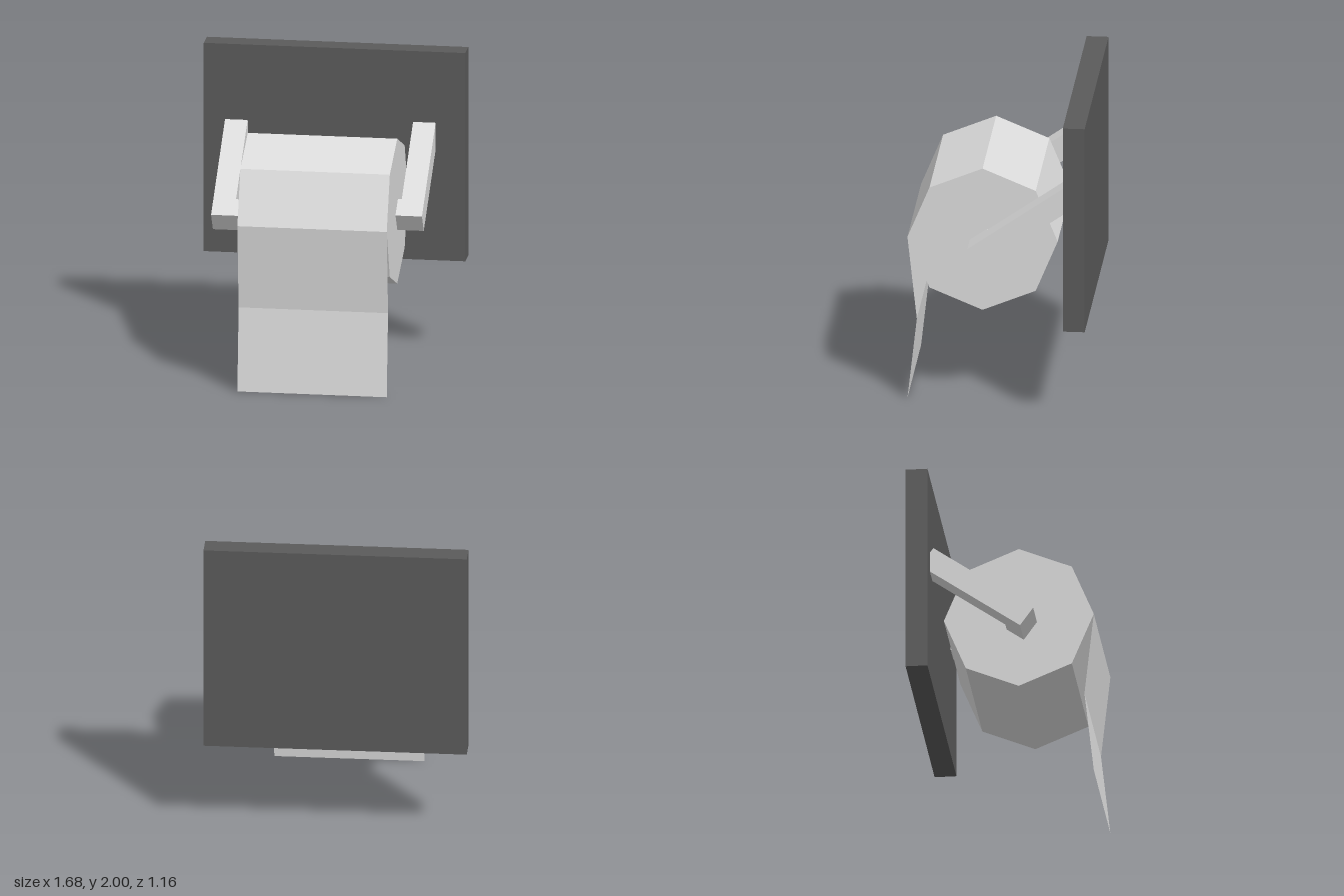
import * as THREE from 'three';

export function createModel() {
  const model = new THREE.Group();
  model.name = 'toiletRollHolder';

  const paper = new THREE.MeshStandardMaterial({ color: 0xdcdcdc });
  paper.name = 'light grey';
  paper.flatShading = true;
  paper.side = THREE.DoubleSide;
  const dark = new THREE.MeshStandardMaterial({ color: 0x5a5a5a });
  dark.name = 'dark grey';

  const add = (name, geometry, material, x, y, z) => {
    const mesh = new THREE.Mesh(geometry, material);
    mesh.name = name;
    mesh.position.set(x, y, z);
    model.add(mesh);
    return mesh;
  };

  // Wall plate
  add('wallPlate', new THREE.BoxGeometry(1.68, 1.38, 0.14), dark, 0, 1.31, -0.515);

  // Eight-sided paper roll lying along x
  const rollWidth = 0.96;
  const roll = new THREE.CylinderGeometry(0.48, 0.48, rollWidth, 8).rotateZ(Math.PI / 2);
  add('paperRoll', roll, paper, 0, 1.095, 0.1);

  // Hanging sheet with one crease, pulled back at the middle
  const sheet = new THREE.PlaneGeometry(rollWidth, 1.095, 1, 2);
  const p = sheet.attributes.position;
  for (let i = 2; i < 4; i++) p.setXYZ(i, p.getX(i), -0.0075, -0.06);
  add('hangingSheet', sheet, paper, 0, 0.5475, 0.58);

  // Slanted L-shaped arms: a bar from the plate and a peg into the roll
  const addArm = (name, side, inner, outer, y, z) => {
    const peg = 0.42, length = 0.782, pegHeight = 0.135;
    const outline = [[peg, 0], [outer, 0], [outer, length], [inner, length], [inner, pegHeight], [peg, pegHeight]];
    const shape = new THREE.Shape(outline.map(([x, v]) => new THREE.Vector2(side * x, v)));
    const geometry = new THREE.ExtrudeGeometry(shape, { depth: 0.146, bevelEnabled: false });
    add(name, geometry, paper, 0, y, z).rotation.x = -0.957;
  };
  addArm('leftArm', 1, 0.505, 0.65, 0.97, 0.097);
  addArm('rightArm', -1, 0.555, 0.7, 0.937, 0.132);

  return model;
}
